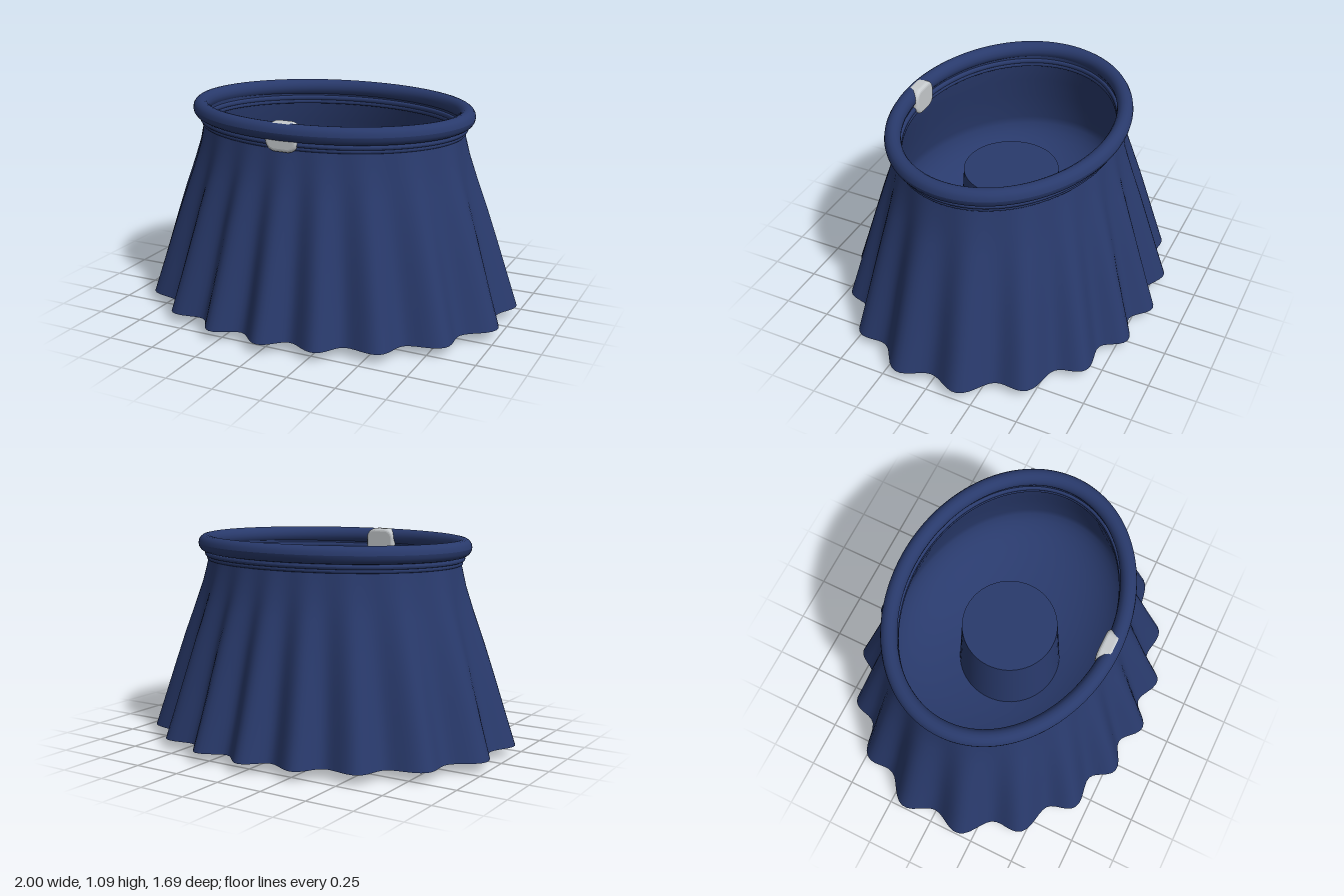
import * as THREE from 'three';

const PLEATS = 18;

// Lofts oval cross-sections, each row: [half width x, half depth z, y, pleat depth]
function ovalLoft(rows, segments = 144) {
  const positions = [], indices = [];
  for (const [a, b, y, pleat = 0] of rows) {
    for (let i = 0; i < segments; i++) {
      const t = (i / segments) * Math.PI * 2;
      const c = Math.cos(t), s = Math.sin(t);
      const r = 1 / Math.hypot(c / a, s / b) - pleat * Math.cos(PLEATS * t);
      positions.push(r * c, y, r * s);
    }
  }
  for (let j = 0; j < rows.length - 1; j++) {
    for (let i = 0; i < segments; i++) {
      const n = (i + 1) % segments;
      const p = j * segments + i, q = j * segments + n;
      const up = p + segments, upq = q + segments;
      indices.push(p, up, q, q, up, upq);
    }
  }
  const g = new THREE.BufferGeometry();
  g.setAttribute('position', new THREE.Float32BufferAttribute(positions, 3));
  g.setIndex(indices);
  g.computeVertexNormals();
  return g;
}

// Closed hoop whose section is a superellipse around an oval centre line
function hoop(a, b, y, halfWidth, halfHeight, power = 1) {
  const rows = [], steps = 16;
  const soft = (v) => Math.sign(v) * Math.pow(Math.abs(v), power);
  for (let i = 0; i <= steps; i++) {
    const t = (i / steps) * Math.PI * 2;
    const o = halfWidth * soft(Math.cos(t));
    rows.push([a + o, b + o, y + halfHeight * soft(Math.sin(t))]);
  }
  return ovalLoft(rows);
}

// Upright plate with rounded corners and a bevelled edge, centred on the origin
function roundedPlate(width, height, depth, radius, bevel) {
  const w = width / 2 - bevel, h = height / 2 - bevel, r = radius - bevel;
  const shape = new THREE.Shape();
  shape.absarc(w - r, h - r, r, 0, Math.PI / 2);
  shape.absarc(r - w, h - r, r, Math.PI / 2, Math.PI);
  shape.absarc(r - w, r - h, r, Math.PI, Math.PI * 1.5);
  shape.absarc(w - r, r - h, r, Math.PI * 1.5, Math.PI * 2);
  return new THREE.ExtrudeGeometry(shape, {
    depth: depth - 2 * bevel, bevelSize: bevel, bevelThickness: bevel, bevelSegments: 4, curveSegments: 8,
  }).center();
}

export function createModel() {
  const group = new THREE.Group();
  const blue = new THREE.MeshStandardMaterial({ color: 0x293a6c, side: THREE.DoubleSide });
  blue.name = 'navy blue';
  const silver = new THREE.MeshStandardMaterial({ color: 0xc6cacd });
  silver.name = 'silver grey';

  const add = (name, geometry, material = blue) => {
    const mesh = new THREE.Mesh(geometry, material);
    mesh.name = name;
    group.add(mesh);
    return mesh;
  };

  // Flared skirt, pleats fading out toward the waist
  add('pleatedSkirt', ovalLoft([
    [0.98, 0.803, 0.05, 0.04],
    [0.928, 0.753, 0.22, 0.035],
    [0.875, 0.703, 0.40, 0.028],
    [0.823, 0.656, 0.57, 0.021],
    [0.771, 0.609, 0.73, 0.013],
    [0.736, 0.574, 0.85, 0.006],
    [0.712, 0.547, 0.96, 0.001],
  ], 216));

  // Inner shell: rounded underside bulging out close to the skirt, then narrowing to the waist
  const shell = [];
  for (let i = 0; i <= 10; i++) {
    const t = THREE.MathUtils.lerp(Math.asin(0.26 / 0.78), Math.PI / 2, i / 10);
    const s = Math.sin(t);
    // Near-round where it meets the post, oval further out
    shell.push([0.78 * s, THREE.MathUtils.lerp(0.26, 0.62, (s - 0.333) / 0.667), 0.56 - 0.33 * Math.cos(t)]);
  }
  shell.push([0.745, 0.583, 0.73], [0.718, 0.557, 0.85], [0.692, 0.532, 0.96], [0.69, 0.53, 1.02]);
  add('innerShell', ovalLoft(shell));

  // Collar bands and thick rolled rim
  add('lowerCollar', hoop(0.70, 0.535, 0.967, 0.02, 0.012, 0.6));
  add('upperCollar', hoop(0.705, 0.54, 0.988, 0.025, 0.014, 0.6));
  add('rim', hoop(0.723, 0.556, 1.045, 0.042, 0.045));

  // Round post: straight foot below, slightly tapered inside the shell
  const foot = add('postFoot', new THREE.CylinderGeometry(0.272, 0.272, 0.26, 64));
  foot.position.y = 0.13;
  const post = add('innerPost', new THREE.CylinderGeometry(0.25, 0.28, 0.47, 64));
  post.position.y = 0.485;

  // Clasp clipped through the front of the rim
  const clasp = add('clasp', roundedPlate(0.175, 0.147, 0.074, 0.055, 0.018), silver);
  clasp.position.set(0, 1.0185, 0.536);

  return group;
}
